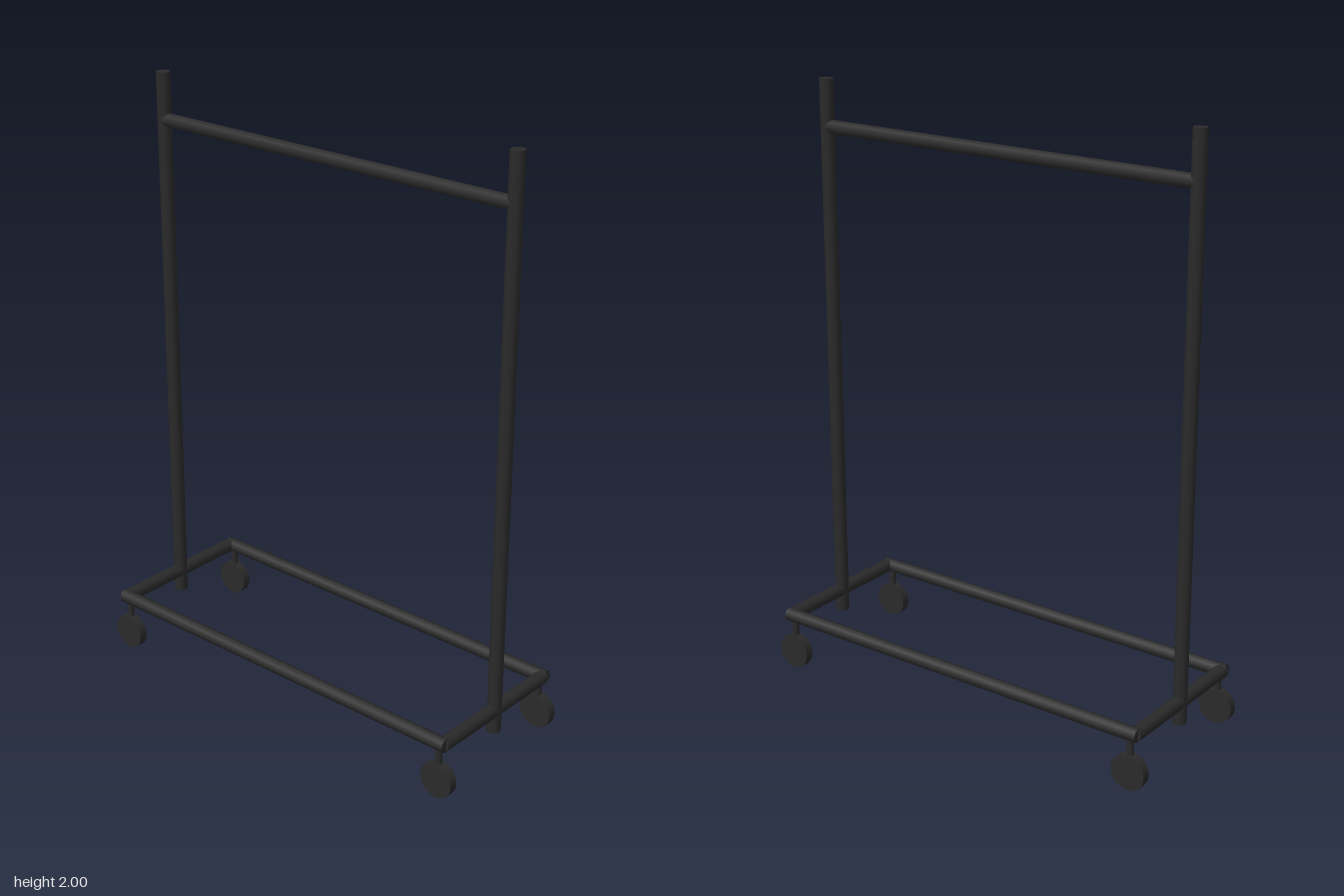
import * as THREE from 'three';

const POST_X = 0.7, RAIL_Z = 0.262, RAIL_Y = 0.19, PIPE_R = 0.0235;
const CASTER_X = 0.685, WHEEL_R = 0.06;

export function createModel() {
  const rack = new THREE.Group();
  rack.name = 'clothesRack';
  const blackMetal = new THREE.MeshStandardMaterial({ color: 0x2a2a2a });
  blackMetal.name = 'blackMetal';

  // Straight cylinder along one axis
  function rod(name, axis, radius, length, sides, x, y, z, parent = rack) {
    const geometry = new THREE.CylinderGeometry(radius, radius, length, sides);
    if (axis === 'x') geometry.rotateZ(Math.PI / 2);
    if (axis === 'z') geometry.rotateX(Math.PI / 2);
    const mesh = new THREE.Mesh(geometry, blackMetal);
    mesh.name = name;
    mesh.position.set(x, y, z);
    parent.add(mesh);
    return mesh;
  }

  // Hanging rail
  rod('hangingRail', 'x', PIPE_R, POST_X * 2, 8, 0, 1.843, 0);

  // Upright posts and the short side rails of the base
  for (const [side, sx] of [['left', 1], ['right', -1]]) {
    rod(side + 'Post', 'y', PIPE_R, 1.885, 8, sx * POST_X, 1.0575, 0);
    rod(side + 'BaseRail', 'z', PIPE_R, RAIL_Z * 2, 8, sx * POST_X, RAIL_Y, 0);
  }

  // Long base rails, each with a caster near both ends
  for (const [end, sz] of [['front', 1], ['back', -1]]) {
    rod(end + 'BaseRail', 'x', PIPE_R, 1.424, 8, 0, RAIL_Y, sz * RAIL_Z);
    for (const [side, sx] of [['Left', 1], ['Right', -1]]) {
      const caster = new THREE.Group();
      caster.name = end + side + 'Caster';
      caster.position.set(sx * CASTER_X, 0, sz * RAIL_Z);
      rod('casterStem', 'y', 0.012, 0.1, 8, 0, 0.14, 0, caster);
      rod('casterWheel', 'z', WHEEL_R, 0.03, 16, 0, WHEEL_R, 0, caster);
      rack.add(caster);
    }
  }
  return rack;
}
